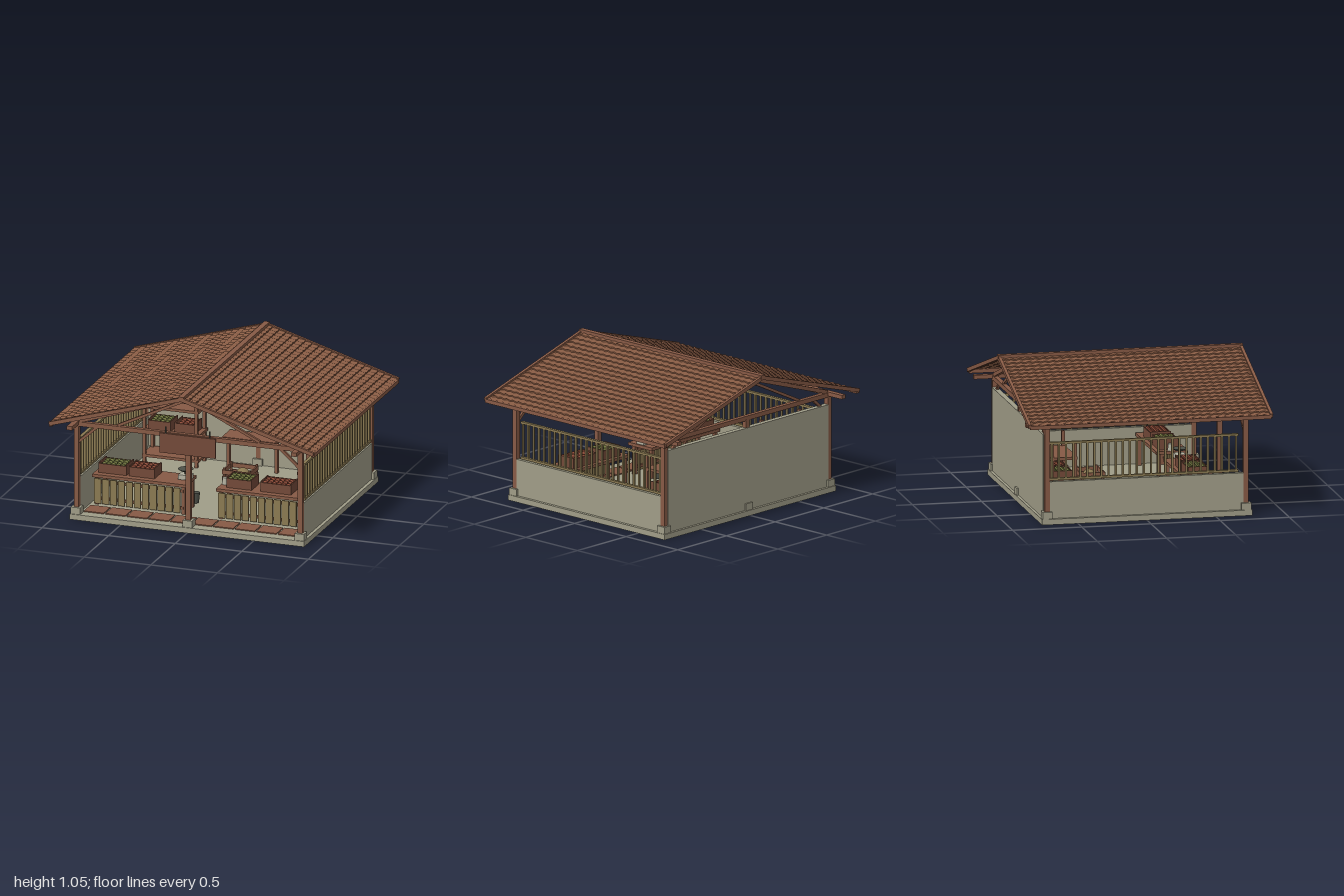
import * as THREE from 'three';

const mat = (name, color, side = THREE.FrontSide) => {
  const m = new THREE.MeshStandardMaterial({ color, side });
  m.name = name;
  return m;
};

export function createModel() {
  const root = new THREE.Group();
  const wood = mat('brown wood', 0x875a45);
  const darkWood = mat('dark wood', 0x744a39);
  const roofMat = mat('roof tile', 0x895c44, THREE.DoubleSide);
  const plaster = mat('plaster', 0xa09d88);
  const tan = mat('tan wood', 0x8b7a52);
  const metal = mat('dark metal', 0x4d5048);
  const pale = mat('pale metal', 0xb2b09f);
  const green = mat('green produce', 0x70753f);
  const red = mat('red produce', 0x8c4b38);

  const add = (name, geo, m, parent = root) => {
    const mesh = new THREE.Mesh(geo, m);
    mesh.name = name;
    parent.add(mesh);
    return mesh;
  };
  // Box given by its low and high limits on each axis
  const box = (name, m, x0, x1, y0, y1, z0, z1, parent = root) => {
    const b = add(name, new THREE.BoxGeometry(x1 - x0, y1 - y0, z1 - z0), m, parent);
    b.position.set((x0 + x1) / 2, (y0 + y1) / 2, (z0 + z1) / 2);
    return b;
  };
  // Sloping timber in a plane of constant z
  const beam = (name, x0, y0, x1, y1, z, h, d, m = wood) => {
    const b = add(name, new THREE.BoxGeometry(Math.hypot(x1 - x0, y1 - y0), h, d), m);
    b.position.set((x0 + x1) / 2, (y0 + y1) / 2, z);
    b.rotation.z = Math.atan2(y1 - y0, x1 - x0);
    return b;
  };
  const group = (name) => {
    const g = new THREE.Group();
    g.name = name;
    root.add(g);
    return g;
  };

  // Slab, paving, walls
  box('baseSlab', plaster, -0.88, 0.88, 0, 0.04, -0.76, 0.76);
  for (let i = 0; i < 10; i++) {
    const x = -0.81 + i * 0.162;
    box('pavingTile', wood, x + 0.006, x + 0.156, 0.04, 0.047, 0.54, 0.68);
  }
  box('backWall', plaster, -0.825, 0.825, 0.04, 0.64, -0.74, -0.7);
  for (const s of [-1, 1]) {
    box('sideWall', plaster, s * 0.84 - 0.016, s * 0.84 + 0.016, 0.04, 0.305, -0.71, 0.71);
    // Slatted railing above each side wall
    const g = group('sideRailing');
    for (const y of [0.313, 0.572]) {
      box('rail', tan, s * 0.84 - 0.012, s * 0.84 + 0.012, y, y + 0.016, -0.7, 0.665, g);
    }
    for (let i = 0; i < 27; i++) {
      const z = 0.65 - i * 0.0512;
      box('baluster', tan, s * 0.84 - 0.007, s * 0.84 + 0.007, 0.32, 0.58, z - 0.007, z + 0.007, g);
    }
  }

  // Posts on stone footings
  for (const z of [-0.718, 0.718]) {
    for (const x of [-0.84, 0, 0.84]) {
      box('footing', plaster, x - 0.035, x + 0.035, 0.04, 0.09, z - 0.035, z + 0.035);
      box('post', wood, x - 0.018, x + 0.018, 0.09, 0.7, z - 0.018, z + 0.018);
    }
    for (const s of [-1, 1]) beam('cornerBrace', s * 0.825, 0.575, s * 0.69, 0.695, z, 0.02, 0.02);
  }

  // Roof trusses and wall plates
  for (const z of [-0.718, 0, 0.718]) {
    box('tieBeam', wood, -0.86, 0.86, 0.692, 0.725, z - 0.017, z + 0.017);
    for (const s of [-1, 1]) {
      beam('rafter', 0, 1.0, s * 0.82, 0.73, z, 0.028, 0.028);
      beam('strut', 0, 0.985, s * 0.535, 0.727, z, 0.02, 0.022);
    }
  }
  for (const s of [-1, 1]) {
    box('wallPlate', wood, s * 0.842 - 0.02, s * 0.842 + 0.02, 0.703, 0.732, -0.87, 0.87);
    box('eaveBoard', wood, s * 0.985 - 0.012, s * 0.985 + 0.012, 0.715, 0.742, -0.87, 0.87);
    for (const z of [-0.873, 0.873]) beam('bargeBoard', 0, 1.032, s * 0.992, 0.737, z, 0.028, 0.022);
  }
  box('ridgeCap', wood, -0.02, 0.02, 1.025, 1.052, -0.885, 0.885);

  // Tiled slopes: stepped courses with a ripple along the eave direction
  const tiledSlope = (s) => {
    const rows = 20, nz = 180, pos = [], idx = [];
    for (let r = 0; r < rows; r++) {
      for (const e of [0, 1]) {
        const t = (r + e) / rows;
        for (let k = 0; k <= nz; k++) {
          const z = -0.868 + (1.736 * k) / nz;
          const ripple = 0.003 * Math.sin((z * 2 * Math.PI) / 0.058);
          pos.push(s * 0.99 * t, 1.032 - 0.295 * t + 0.009 * e + ripple, z);
        }
      }
    }
    const n = nz + 1;
    for (let j = 0; j < rows * 2 - 1; j++) {
      for (let k = 0; k < nz; k++) {
        const a = j * n + k, b = a + 1, c = a + n, d = c + 1;
        if (s > 0) idx.push(a, b, c, b, d, c);
        else idx.push(a, c, b, b, c, d);
      }
    }
    const g = new THREE.BufferGeometry();
    g.setAttribute('position', new THREE.Float32BufferAttribute(pos, 3));
    g.setIndex(idx);
    const flat = g.toNonIndexed();
    flat.computeVertexNormals();
    add('tiledSlope', flat, roofMat);
  };
  tiledSlope(1);
  tiledSlope(-1);

  // Blank hanging board with two straps
  box('hangingBoard', darkWood, -0.21, 0.21, 0.575, 0.72, 0.737, 0.751);
  for (const x of [-0.165, 0.165]) box('boardStrap', metal, x - 0.004, x + 0.004, 0.7, 0.77, 0.74, 0.748);

  // Open slatted crate filled with round produce
  const crate = (x, z, w, y, m) => {
    const g = group('crate'), d = 0.15, h = 0.068, t = 0.008;
    g.position.set(x, y, z);
    box('crateFloor', darkWood, -w / 2, w / 2, 0, 0.04, -d / 2 + t, d / 2 - t, g);
    for (const s of [-1, 1]) {
      box('crateSide', darkWood, -w / 2, w / 2, 0, h, s * (d / 2 - t / 2) - t / 2, s * (d / 2 - t / 2) + t / 2, g);
      box('crateEnd', darkWood, s * (w / 2 - t / 2) - t / 2, s * (w / 2 - t / 2) + t / 2, 0, h + 0.008, -d / 2, d / 2, g);
    }
    const nx = Math.floor((w - 0.02) / 0.034);
    for (let i = 0; i < nx; i++) for (let k = 0; k < 4; k++) {
      const p = add('produce', new THREE.SphereGeometry(0.018, 8, 6), m, g);
      p.position.set((i - (nx - 1) / 2) * 0.035, 0.058 + 0.006 * ((i * 3 + k * 2) % 3) / 2, (k - 1.5) * 0.033);
    }
  };

  // Front counters with plank fronts
  for (const s of [-1, 1]) {
    const g = group('frontCounter');
    const lo = s < 0 ? -0.8 : 0.13, hi = s < 0 ? -0.1 : 0.8;
    box('counterTop', wood, lo, hi, 0.248, 0.27, 0.29, 0.52, g);
    for (const x of [lo + 0.025, hi - 0.025]) for (const z of [0.315, 0.48]) {
      box('counterLeg', wood, x - 0.013, x + 0.013, 0.04, 0.25, z - 0.013, z + 0.013, g);
    }
    for (let i = 0; i < 11; i++) {
      const x = s * (0.168 + i * 0.0595);
      box('plank', tan, x - 0.025, x + 0.025, 0.052, 0.236, 0.497, 0.509, g);
    }
    for (const y of [0.075, 0.2]) box('plankRail', wood, lo + 0.025, hi - 0.025, y, y + 0.02, 0.48, 0.495, g);
  }
  crate(-0.665, 0.395, 0.21, 0.27, green);
  crate(-0.445, 0.395, 0.19, 0.27, red);
  crate(0.285, 0.395, 0.19, 0.27, green);
  crate(0.56, 0.395, 0.23, 0.27, red);

  // Shelving along the back
  for (const s of [-1, 1]) {
    const g = group('backShelf');
    for (const x of [0.39, 0.78]) for (const z of [-0.5, -0.665]) {
      box('shelfUpright', wood, s * x - 0.012, s * x + 0.012, 0.04, 0.57, z - 0.012, z + 0.012, g);
    }
    const a = Math.min(s * 0.37, s * 0.795), b = Math.max(s * 0.37, s * 0.795);
    for (const y of [0.08, 0.262, 0.442]) box('shelfBoard', wood, a, b, y, y + 0.02, -0.68, -0.485, g);
    crate(s * 0.48, -0.58, 0.15, 0.282, s < 0 ? red : green);
    crate(s * 0.67, -0.58, 0.17, 0.282, s < 0 ? green : red);
  }

  // Table at the back, between the shelves
  box('backTableTop', wood, -0.2, 0.2, 0.272, 0.292, -0.67, -0.5);
  for (const x of [-0.18, 0.18]) box('backTableLeg', wood, x - 0.012, x + 0.012, 0.04, 0.272, -0.6, -0.575);

  // Stacked slatted box and sack on the floor
  const bin = group('slattedBin');
  for (let i = 0; i < 3; i++) {
    const y = 0.055 + i * 0.048;
    for (const z of [-0.3, -0.13]) box('binSlat', wood, -0.06, 0.15, y, y + 0.032, z, z + 0.01, bin);
    for (const x of [-0.06, 0.14]) box('binEndSlat', wood, x, x + 0.01, y, y + 0.032, -0.3, -0.12, bin);
  }
  for (const x of [-0.055, 0.135]) for (const z of [-0.29, -0.145]) {
    box('binPost', wood, x, x + 0.014, 0.04, 0.195, z, z + 0.014, bin);
  }
  const sack = add('sack', new THREE.SphereGeometry(0.07, 14, 10), tan);
  sack.scale.set(0.85, 1.05, 0.8);
  sack.position.set(0.065, 0.112, -0.21);

  // Weighing scale on the left counter
  const scale = group('weighingScale');
  scale.position.set(-0.14, 0.27, 0.4);
  const part = (name, r0, r1, h, y, m, x = 0) => {
    const c = add(name, new THREE.CylinderGeometry(r0, r1, h, 16), m, scale);
    c.position.set(x, y, 0);
  };
  box('scaleBody', pale, -0.045, 0.045, 0.005, 0.04, -0.035, 0.035, scale);
  part('scaleNeck', 0.008, 0.008, 0.035, 0.055, metal);
  part('scalePan', 0.056, 0.035, 0.014, 0.072, metal);
  part('scaleMast', 0.004, 0.004, 0.07, 0.08, metal, 0.025);

  // Jar on the right counter and bucket on the floor
  const jar = add('jar', new THREE.CylinderGeometry(0.017, 0.022, 0.05, 14), pale);
  jar.position.set(0.155, 0.295, 0.4);
  const bucket = add('bucket', new THREE.CylinderGeometry(0.03, 0.022, 0.075, 14), metal);
  bucket.position.set(-0.12, 0.09, 0.25);
  return root;
}
